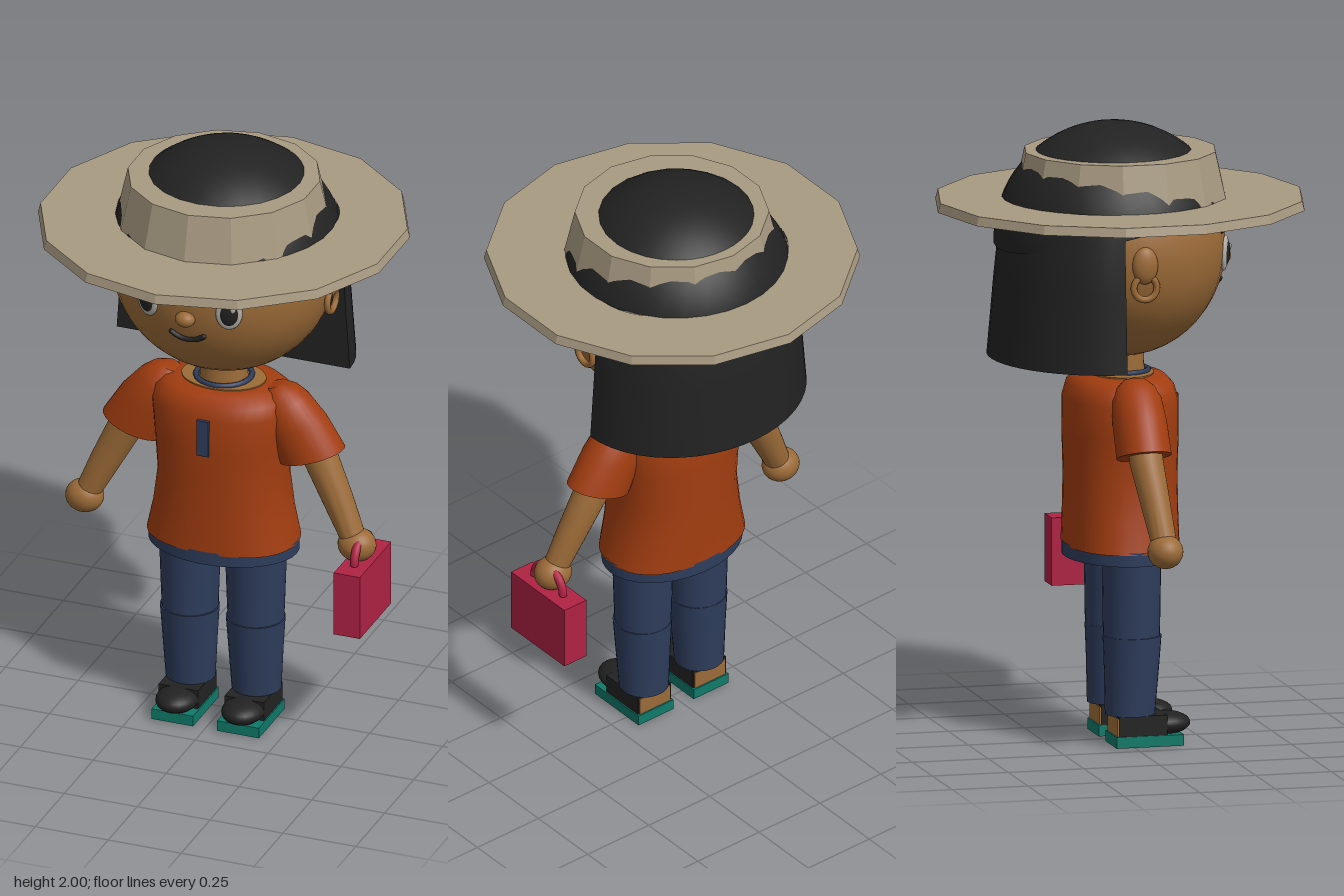
import * as THREE from 'three';
import { toCreasedNormals } from 'three/addons/utils/BufferGeometryUtils.js';

const paint = (name, color) => {
  const m = new THREE.MeshStandardMaterial({ color });
  m.name = name;
  return m;
};
const skin = paint('skin', 0x9c6b38);
const hairBlack = paint('black', 0x222222);
const straw = paint('straw', 0xa89a82);
const orange = paint('orange', 0xa23d10);
const navy = paint('navy', 0x2e3d5c);
const teal = paint('teal', 0x0f7a6a);
const red = paint('red', 0xb02244);
const eyeWhite = paint('eyeWhite', 0xb5b0a8);

// Elliptical rings [x, y, z, rx, rz, tilt], listed from bottom to top, skinned and capped.
function loft(rings, { seg = 28, start = 0, arc = Math.PI * 2, power = 2 } = {}) {
  const pos = [], idx = [];
  const n = arc < 6 ? seg + 1 : seg;
  const curve = (v) => Math.sign(v) * Math.abs(v) ** (2 / power);
  for (const [x, y, z, rx, rz, tilt = 0] of rings) {
    for (let j = 0; j < n; j++) {
      const a = start + (arc * j) / seg;
      const u = rx * curve(Math.cos(a));
      pos.push(x + u * Math.cos(tilt), y + u * Math.sin(tilt), z + rz * curve(Math.sin(a)));
    }
  }
  for (let i = 0; i < rings.length - 1; i++) {
    for (let j = 0; j < n; j++) {
      const k = (j + 1) % n, a = i * n + j, b = i * n + k;
      idx.push(a, a + n, b, b, a + n, b + n);
    }
  }
  const top = (rings.length - 1) * n;
  for (let j = 1; j < n - 1; j++) {
    idx.push(0, j, j + 1);
    idx.push(top, top + j + 1, top + j);
  }
  const g = new THREE.BufferGeometry();
  g.setAttribute('position', new THREE.Float32BufferAttribute(pos, 3));
  g.setIndex(idx);
  return toCreasedNormals(g, 0.75);
}

const flat = (g) => toCreasedNormals(g, 0.1);
const ball = (rx, ry, rz, w = 24, h = 18) => new THREE.SphereGeometry(1, w, h).scale(rx, ry, rz);
const box = (w, h, d) => new THREE.BoxGeometry(w, h, d);

// Head ellipsoid, used to seat the face details
const HEAD = { y: 1.605, rx: 0.365, ry: 0.36, rz: 0.335 };
function facePoint(x, y, lift = 0) {
  const q = 1 - (x / HEAD.rx) ** 2 - ((y - HEAD.y) / HEAD.ry) ** 2;
  return new THREE.Vector3(x, y, HEAD.rz * Math.sqrt(q) + lift);
}

export function createModel() {
  const model = new THREE.Group();
  model.name = 'girlWithHat';
  const add = (name, geo, mat, x = 0, y = 0, z = 0, parent = model) => {
    const m = new THREE.Mesh(geo, mat);
    m.name = name;
    m.position.set(x, y, z);
    parent.add(m);
    return m;
  };
  const stroke = (name, pts, r) => {
    const path = new THREE.CatmullRomCurve3(pts.map(([x, y]) => facePoint(x, y, 0.002)));
    add(name, new THREE.TubeGeometry(path, 12, r, 8), hairBlack);
    for (const t of [0, 1]) {
      const p = path.getPoint(t);
      add(name + 'End', ball(r, r, r, 8, 6), hairBlack, p.x, p.y, p.z);
    }
  };

  // Head and neck
  add('head', ball(HEAD.rx, HEAD.ry, HEAD.rz, 36, 26), skin, 0, HEAD.y, 0);
  add('neck', new THREE.CylinderGeometry(0.075, 0.08, 0.14, 24), skin, 0, 1.21, 0);
  add('nose', ball(0.033, 0.026, 0.028), skin, 0, 1.55, 0.337);
  stroke('mouth', [[-0.055, 1.487], [-0.03, 1.472], [0, 1.467], [0.03, 1.472], [0.055, 1.487]], 0.009);

  for (const s of [1, -1]) {
    // Eye with pupil and glint, turned to follow the face
    const eye = new THREE.Group();
    eye.name = s > 0 ? 'leftEye' : 'rightEye';
    const p = facePoint(s * 0.14, 1.583);
    eye.position.copy(p);
    eye.lookAt(p.x + p.x / HEAD.rx ** 2, p.y + (p.y - HEAD.y) / HEAD.ry ** 2, p.z + p.z / HEAD.rz ** 2);
    model.add(eye);
    add('eyeWhite', ball(0.043, 0.058, 0.012), eyeWhite, 0, 0, 0, eye);
    add('pupil', ball(0.034, 0.047, 0.017), hairBlack, 0, 0, 0, eye);
    add('glint', ball(0.009, 0.011, 0.005, 10, 8), eyeWhite, 0.012, 0.02, 0.014, eye);
    stroke('eyebrow', [[s * 0.18, 1.663], [s * 0.135, 1.673], [s * 0.095, 1.668]], 0.009);

    // Ear and hoop earring
    add('ear', ball(0.025, 0.06, 0.042), skin, s * 0.362, 1.595, -0.012);
    const hoop = add('earring', new THREE.TorusGeometry(0.038, 0.011, 8, 24), skin, s * 0.365, 1.523, -0.012);
    hoop.rotation.y = Math.PI / 2;
  }

  // Hair: tilted cap plus a flared half-round fall behind
  const cap = new THREE.SphereGeometry(1, 28, 16, 0, Math.PI * 2, 0, 1.41).scale(0.38, 0.37, 0.38);
  const capMesh = add('hairCap', cap, hairBlack, 0, 1.63, -0.025);
  capMesh.rotation.x = -0.22;
  add('hairBack', loft([
    [0, 1.25, -0.08, 0.4, 0.345],
    [0, 1.5, -0.08, 0.383, 0.323],
    [0, 1.68, -0.08, 0.372, 0.304],
    [0, 1.76, -0.08, 0.35, 0.275],
  ], { seg: 24, start: Math.PI, arc: Math.PI }), hairBlack);

  // Straw hat
  add('hatBrim', flat(new THREE.CylinderGeometry(0.592, 0.6, 0.03, 14)), straw, 0, 1.745, 0);
  add('hatCrown', flat(new THREE.CylinderGeometry(0.31, 0.346, 0.16, 14)), straw, 0, 1.83, 0);

  // Shirt, with neckline, placket and hem
  add('shirt', loft([
    [0, 0.635, 0, 0.25, 0.18],
    [0, 0.74, 0, 0.227, 0.178],
    [0, 0.86, 0, 0.211, 0.177],
    [0, 1.0, 0, 0.221, 0.18],
    [0, 1.11, 0, 0.232, 0.178],
    [0, 1.155, 0, 0.22, 0.165],
    [0, 1.18, 0, 0.19, 0.143],
    [0, 1.188, 0, 0.15, 0.115],
  ], { seg: 36, power: 2.3 }), orange);
  add('neckline', loft([[0, 1.18, 0, 0.14, 0.105], [0, 1.192, 0, 0.14, 0.105]]), skin);
  const collar = add('collar', new THREE.TorusGeometry(0.09, 0.009, 8, 28), navy, 0, 1.196, 0);
  collar.rotation.x = Math.PI / 2;
  add('placket', box(0.04, 0.125, 0.012), navy, 0, 1.05, 0.182);
  const hem = new THREE.CylinderGeometry(1, 1, 0.045, 36, 1, true).scale(0.25, 1, 0.182);
  navy.side = THREE.DoubleSide;
  add('hem', hem, navy, 0, 0.62, 0);
  add('hips', loft([[0, 0.6, 0, 0.2, 0.13], [0, 0.65, 0, 0.22, 0.15]]), skin);

  for (const s of [1, -1]) {
    const side = s > 0 ? 'left' : 'right';
    const mirrored = (rings) => loft(rings.map(([x, y, z, a, b, t]) => [s * x, y, z, a, b, s * t]));

    // Sleeve, arm and hand
    add(side + 'Sleeve', mirrored([
      [0.303, 0.965, 0, 0.113, 0.087, 0.32],
      [0.25, 1.06, 0, 0.104, 0.086, 0.4],
      [0.208, 1.13, 0, 0.085, 0.08, 0.46],
      [0.19, 1.168, 0, 0.062, 0.062, 0.42],
      [0.18, 1.193, 0, 0.03, 0.035, 0.35],
    ]), orange);
    add(side + 'Arm', mirrored([
      [0.46, 0.695, 0.028, 0.04, 0.04, 0.45],
      [0.4, 0.82, 0.014, 0.05, 0.047, 0.45],
      [0.335, 0.95, 0, 0.057, 0.054, 0.45],
      [0.29, 1.03, 0, 0.057, 0.054, 0.45],
    ]), skin);
    add(side + 'Hand', ball(0.063, 0.055, 0.057), skin, s * 0.467, 0.685, 0.027);

    // Trouser leg in two lengths meeting at the knee
    const x = s * 0.113;
    add(side + 'Thigh', loft([[x, 0.35, 0.008, 0.091, 0.091], [x, 0.63, 0.008, 0.102, 0.095]]), navy);
    add(side + 'Shin', loft([
      [x, 0.1, 0.003, 0.08, 0.08],
      [x, 0.25, 0.008, 0.089, 0.088],
      [x, 0.355, 0.01, 0.096, 0.094],
    ]), navy);

    // Shoe: sole, upper, rounded toe and bare heel
    add(side + 'Sole', box(0.143, 0.036, 0.222), teal, x, 0.018, 0.052);
    add(side + 'ShoeUpper', box(0.135, 0.066, 0.16), hairBlack, x, 0.068, 0.03);
    add(side + 'Toe', ball(0.069, 0.038, 0.085), hairBlack, x, 0.066, 0.115);
    add(side + 'Heel', box(0.125, 0.06, 0.04), skin, x, 0.064, -0.034);
    add(side + 'Ankle', new THREE.CylinderGeometry(0.05, 0.05, 0.08, 16), skin, x, 0.11, 0);
  }

  // Handbag hanging from the left hand
  add('bag', box(0.09, 0.22, 0.27), red, 0.485, 0.53, 0.025);
  const handle = add('bagHandle', new THREE.TorusGeometry(0.072, 0.014, 10, 24, Math.PI), red, 0.485, 0.645, 0.025);
  handle.rotation.y = Math.PI / 2;

  return model;
}
